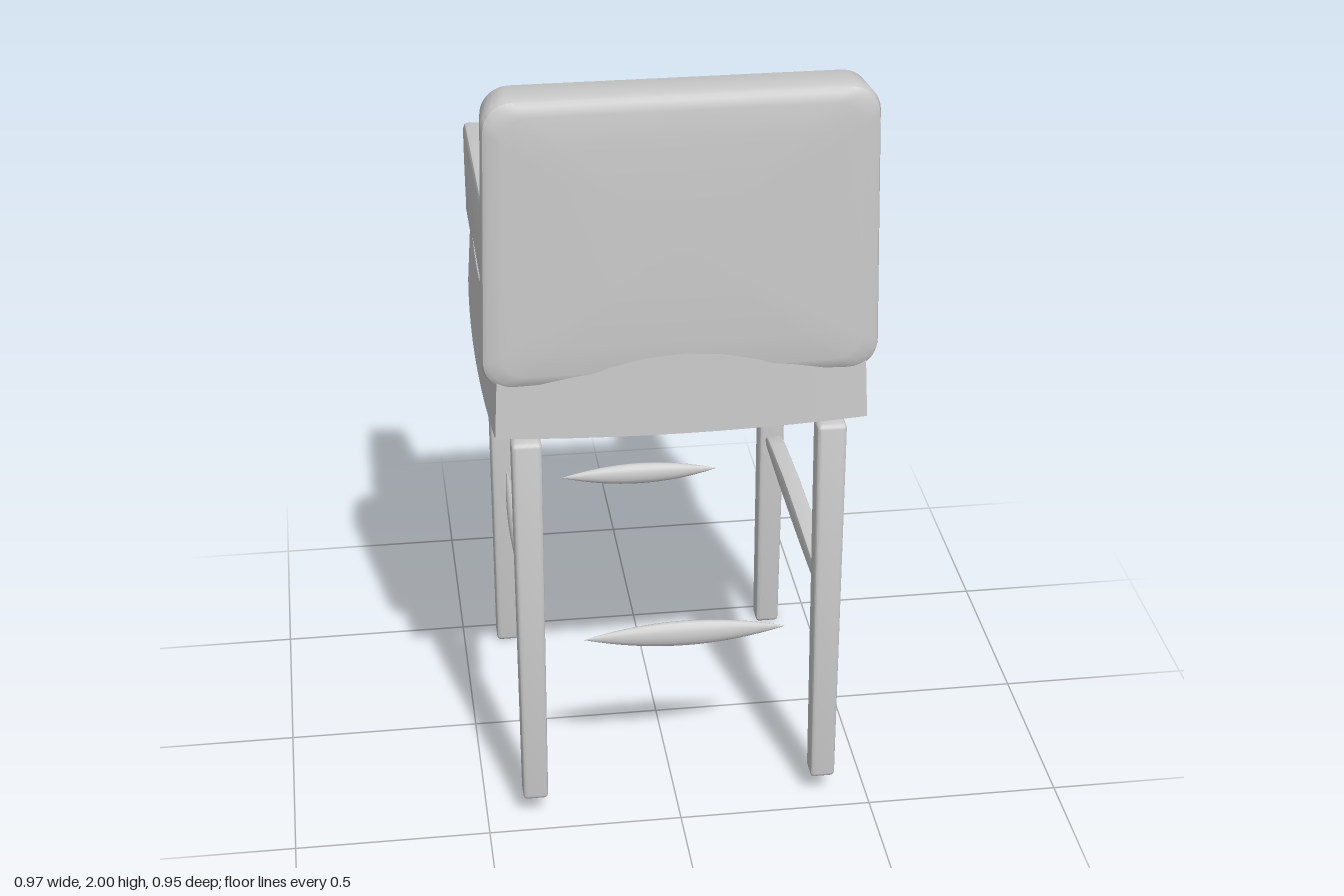
import * as THREE from 'three';
import { toCreasedNormals } from 'three/addons/utils/BufferGeometryUtils.js';
import { RoundedBoxGeometry } from 'three/addons/geometries/RoundedBoxGeometry.js';

const material = new THREE.MeshStandardMaterial({ color: 0xcccccc });

// Move every vertex of a geometry by a rule, then smooth all but sharp edges.
function reshape(geometry, rule, crease = 0.6) {
  const p = geometry.attributes.position;
  const v = new THREE.Vector3();
  for (let i = 0; i < p.count; i++) {
    rule(v.fromBufferAttribute(p, i));
    p.setXYZ(i, v.x, v.y, v.z);
  }
  return toCreasedNormals(geometry, crease);
}

// Side profile given as (z, y) points, extruded across x and softly bevelled.
function sideExtrude(points, width, bevel) {
  const shape = new THREE.Shape(points.map(([z, y]) => new THREE.Vector2(z, y)));
  const g = new THREE.ExtrudeGeometry(shape, {
    depth: width - 2 * bevel, bevelSize: bevel, bevelThickness: bevel,
    bevelOffset: -bevel, bevelSegments: 2,
  });
  g.translate(0, 0, -(width - 2 * bevel) / 2);
  g.rotateY(-Math.PI / 2);
  return g;
}

// Rounded slab with softly crowned faces, lofted from scaled outlines [scale, z].
function slab(halfW, halfH, radius, rings) {
  const s = new THREE.Shape();
  const w = halfW - radius, h = halfH - radius;
  s.absarc(w, h, radius, 0, Math.PI / 2);
  s.absarc(-w, h, radius, Math.PI / 2, Math.PI);
  s.absarc(-w, -h, radius, Math.PI, Math.PI * 1.5);
  s.absarc(w, -h, radius, Math.PI * 1.5, Math.PI * 2);
  const outline = s.getPoints(6);
  const n = outline.length, pos = [], index = [];
  for (const [k, z] of rings) for (const q of outline) pos.push(q.x * k, q.y * k, z);
  for (let i = 0; i < rings.length - 1; i++) {
    for (let j = 0; j < n; j++) {
      const a = i * n + j, b = i * n + (j + 1) % n;
      index.push(a, a + n, b, b, a + n, b + n);
    }
  }
  const g = new THREE.BufferGeometry();
  g.setAttribute('position', new THREE.Float32BufferAttribute(pos, 3));
  g.setIndex(index);
  return g;
}

// Thin bar that swells in the middle and runs to a point at both ends, along x.
function lensBar(length, height, depth) {
  const profile = [];
  for (let i = 0; i <= 16; i++) {
    const t = i / 8 - 1;
    profile.push(new THREE.Vector2(Math.max(0, 1 - t * t) / 2, t * length / 2));
  }
  const g = new THREE.LatheGeometry(profile, 16);
  g.rotateZ(-Math.PI / 2);
  g.scale(1, height, depth);
  return g;
}

export function createModel() {
  const model = new THREE.Group();
  const add = (name, geometry, x = 0, y = 0, z = 0) => {
    const mesh = new THREE.Mesh(geometry, material);
    mesh.name = name;
    mesh.position.set(x, y, z);
    model.add(mesh);
    return mesh;
  };

  // Seat: bowed sides, narrowing upward, with a dropped open edge
  add('seat', reshape(new THREE.BoxGeometry(2, 1, 2, 10, 6, 10), (v) => {
    const { x, z } = v, t = v.y + 0.5;
    v.x = 0.005 + x * (0.457 + 0.015 * (1 - z * z) - 0.012 * t);
    v.z = z * (0.46 + 0.015 * (1 - x * x) - (z < 0 ? 0.025 : 0.005) * t);
    v.y = 1.127 + 0.253 * t - 0.025 * t * Math.max(0, -z) ** 6 + 0.008 * (1 - t) * z * z * x * x;
  }));

  // Arms
  const armProfile = [[0.34, 1.34], [0.34, 1.62], [0.1, 1.62], [-0.15, 1.614], [-0.4, 1.605],
    [-0.44, 1.595], [-0.462, 1.56], [-0.465, 1.52], [-0.455, 1.44], [-0.44, 1.38], [-0.44, 1.34]];
  for (const side of [-1, 1]) {
    add(side < 0 ? 'rightArm' : 'leftArm',
      reshape(sideExtrude(armProfile, 0.108, 0.012), (v) => {
        if (v.z < -0.3) v.z -= side * v.x * 0.12;
      }), side < 0 ? -0.398 : 0.408);
  }

  // Backrest: crowned panel, wider toward the bottom
  const rings = [[0.001, 0.085], [0.35, 0.084], [0.7, 0.081], [0.9, 0.076], [0.965, 0.071], [0.99, 0.062],
    [1, 0.045], [0.985, -0.055], [0.965, -0.073], [0.9, -0.075], [0.5, -0.077], [0.001, -0.078]];
  add('backrest', reshape(slab(0.475, 0.368, 0.07, rings), (v) => {
    const drop = (0.368 - v.y) / 0.736;
    v.x *= 0.98 + 0.04 * drop;
    if (v.z < 0) {
      v.z -= 0.02 * drop;
      if (v.y < -0.25) v.y += 0.03;
    }
  }), 0.003, 1.632, 0.392);

  // Legs: slim, tapering and leaning slightly
  const leg = (name, x, bottom, top, zBottom, zTop) => {
    const g = new RoundedBoxGeometry(0.074, top - bottom, 0.07, 2, 0.012);
    add(name, reshape(g, (v) => {
      const t = v.y / (top - bottom) + 0.5;
      v.x *= 0.87 + 0.13 * t;
      v.z = v.z * (0.92 + 0.08 * t) + zBottom + (zTop - zBottom) * t;
    }), x, (top + bottom) / 2);
  };
  for (const [side, x] of [['right', -0.374], ['left', 0.383]]) {
    leg(side + 'BackrestLeg', x, 0.06, 1.1, 0.422, 0.402);
    leg(side + 'OpenSideLeg', x, 0, 1.14, -0.445, -0.422);
  }

  // Stretchers
  add('backrestStretcher', lensBar(0.52, 0.07, 0.04), 0.02, 0.515, 0.415);
  add('openSideStretcher', lensBar(0.44, 0.062, 0.04), 0.01, 0.515, -0.43);
  add('rightStretcher', lensBar(0.68, 0.055, 0.04), -0.375, 0.63, 0.05).rotation.y = Math.PI / 2;
  const barProfile = [[0.4, 0.605], [0.4, 0.642], [0.3, 0.652], [0.1, 0.66], [-0.1, 0.66],
    [-0.3, 0.65], [-0.365, 0.642], [-0.385, 0.625], [-0.365, 0.61], [-0.2, 0.602], [0.1, 0.6]];
  add('leftStretcher', toCreasedNormals(sideExtrude(barProfile, 0.045, 0.006), 0.6), 0.383);

  return model;
}
